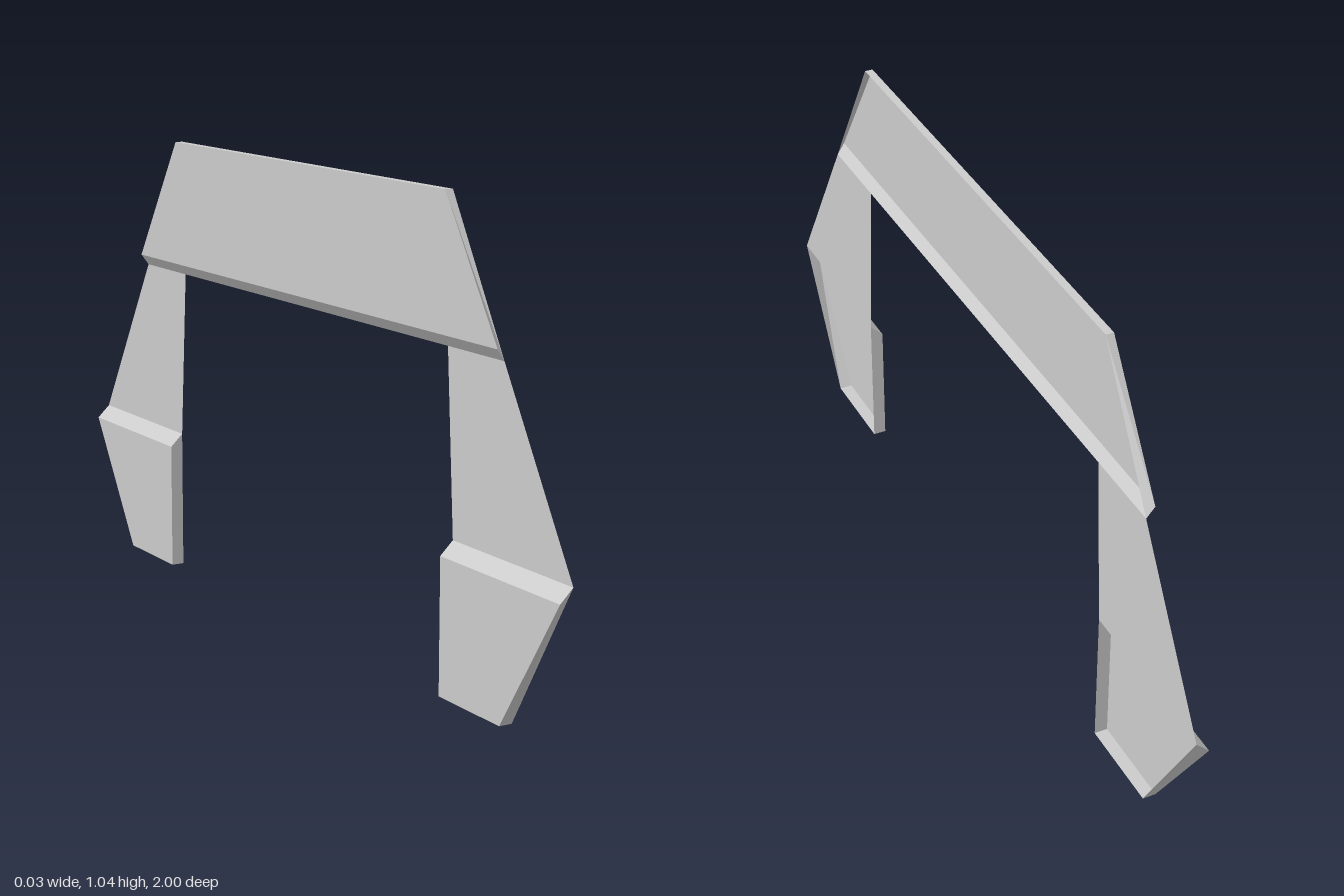
import * as THREE from 'three';

const FRONT = 0.015; // plane of the open rims and the leg sheets

// Pairs are [z, y], counter-clockwise as seen from +x
const mirror = (pts) => pts.map(([z, y]) => [-z, y]).reverse();
const atX = (pts, x) => pts.map(([z, y]) => [x, y, z]);

// Mesh of flat four-cornered sheets
function sheets(name, quads) {
  const pos = [];
  for (const [a, b, c, d] of quads) pos.push(...a, ...b, ...c, ...a, ...c, ...d);
  const geo = new THREE.BufferGeometry();
  geo.setAttribute('position', new THREE.Float32BufferAttribute(pos, 3));
  geo.computeVertexNormals();
  const mesh = new THREE.Mesh(geo, new THREE.MeshStandardMaterial({
    color: 0xcccccc, flatShading: true, side: THREE.DoubleSide,
  }));
  mesh.name = name;
  return mesh;
}

// Shallow tray, open towards +x: a back panel joined to its rim by thin walls
function tray(name, backPts, rimPts, backX) {
  const back = atX(backPts, backX);
  const rim = atX(rimPts, FRONT);
  const walls = back.map((p, i) => {
    const j = (i + 1) % back.length;
    return [p, back[j], rim[j], rim[i]];
  });
  return sheets(name, [back, ...walls]);
}

export function createModel() {
  const group = new THREE.Group();
  group.name = 'archPanel';

  // Upper crossbar with a sloped lower wall
  const barBack = [[0.577, 1.036], [0.765, 0.745], [-0.765, 0.745], [-0.577, 1.036]];
  const barRim = [[0.577, 1.036], [0.763, 0.72], [-0.763, 0.72], [-0.577, 1.036]];
  group.add(tray('crossbar', barBack, barRim, -0.003));

  // Flat legs and the recessed feet below them
  const leg = [[0.763, 0.72], [1, 0.325], [0.592, 0.325], [0.566, 0.72]];
  const footBack = [[1, 0.296], [0.808, 0], [0.592, 0], [0.592, 0.296]];
  const footRim = [[1, 0.325], [0.808, 0], [0.592, 0], [0.592, 0.325]];
  for (const [side, place] of [['front', (p) => p], ['back', mirror]]) {
    group.add(sheets(side + 'Leg', [atX(place(leg), FRONT)]));
    group.add(tray(side + 'Foot', place(footBack), place(footRim), -FRONT));
  }
  return group;
}
